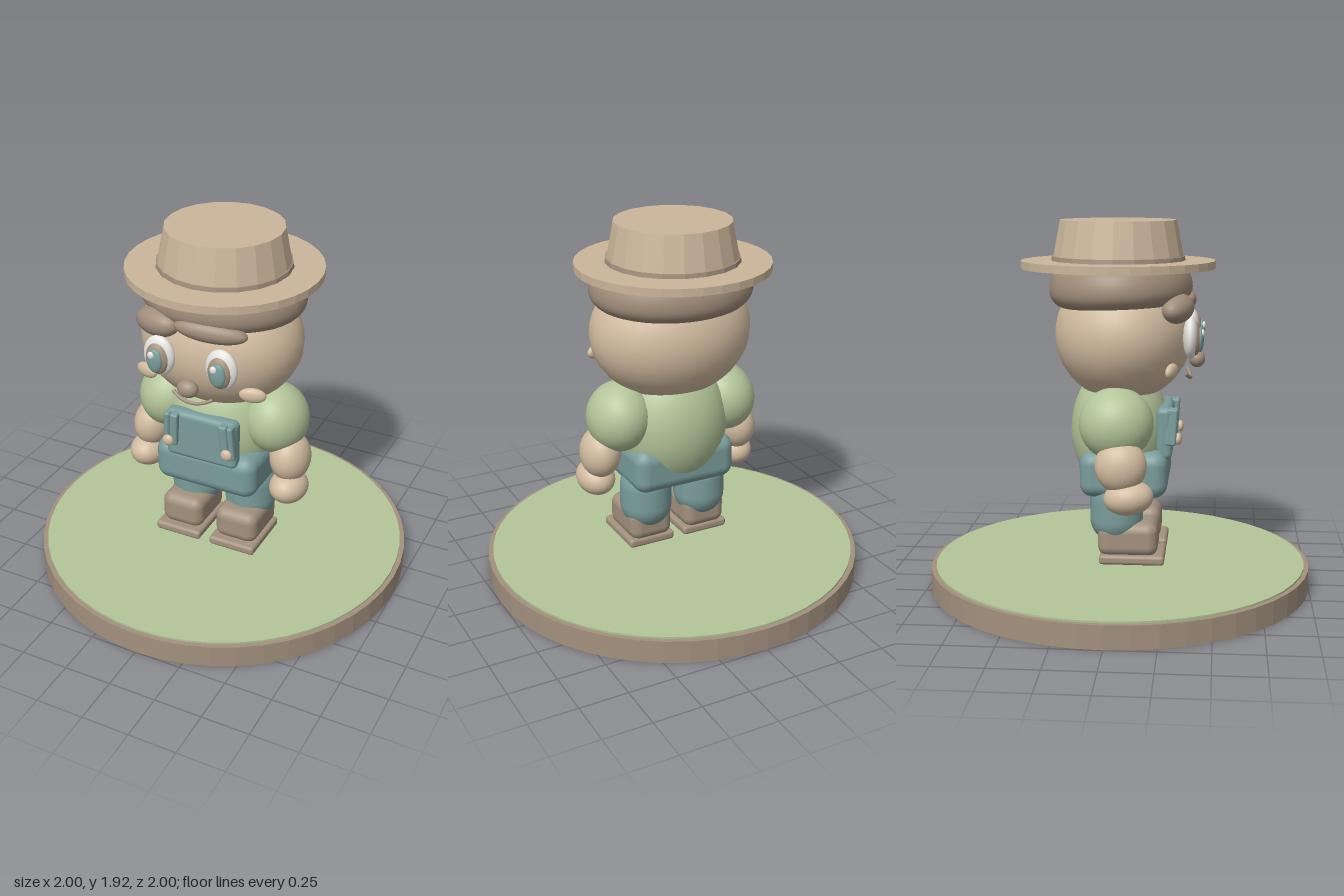
import * as THREE from 'three';
import { RoundedBoxGeometry } from 'three/addons/geometries/RoundedBoxGeometry.js';

export function createModel() {
  const root = new THREE.Group();
  root.name = 'gardenerFigure';

  const mat = (name, color, extra = {}) => {
    const m = new THREE.MeshStandardMaterial({ color, ...extra });
    m.name = name;
    return m;
  };
  const skin = mat('skin', 0xd2bca0);
  const straw = mat('straw', 0xcbb69b, { flatShading: true });
  const brown = mat('brown', 0xa3917e);
  const hairBrown = mat('hairBrown', 0xa08d7a, { side: THREE.DoubleSide });
  const wood = mat('wood', 0xa3917e, { flatShading: true });
  const green = mat('green', 0xb3c599);
  const denim = mat('denim', 0x7a9d9c);
  const white = mat('eyeWhite', 0xe6e4df);

  const add = (name, geo, material, x, y, z, rx = 0, ry = 0, rz = 0) => {
    const m = new THREE.Mesh(geo, material);
    m.name = name;
    m.position.set(x, y, z);
    m.rotation.set(rx, ry, rz);
    root.add(m);
    return m;
  };
  const ball = (name, material, [x, y, z], [a, b, c], rot = [0, 0, 0]) =>
    add(name, new THREE.SphereGeometry(1, 32, 20).scale(a, b, c), material, x, y, z, ...rot);
  const block = (name, material, [x, y, z], [w, h, d], r, rot = [0, 0, 0]) =>
    add(name, new RoundedBoxGeometry(w, h, d, 4, r), material, x, y, z, ...rot);
  const disc = (name, material, rTop, rBottom, y0, y1, sides, z = 0) =>
    add(name, new THREE.CylinderGeometry(rTop, rBottom, y1 - y0, sides), material, 0, (y0 + y1) / 2, z);

  // Round stand with a grass top
  disc('standBase', wood, 1, 1, 0, 0.12, 48);
  disc('grass', green, 0.975, 0.975, 0.12, 0.13, 48);

  // Torso and overalls
  ball('shirtBody', green, [0, 0.84, 0], [0.3, 0.35, 0.255]);
  block('overallHips', denim, [0, 0.64, 0.035], [0.575, 0.24, 0.45], 0.07);
  block('overallBib', denim, [0, 0.845, 0.24], [0.4, 0.27, 0.08], 0.03);

  // Head
  ball('head', skin, [0, 1.34, 0.02], [0.43, 0.35, 0.355]);
  ball('nose', brown, [0, 1.21, 0.4], [0.055, 0.046, 0.042]);
  const smile = new THREE.QuadraticBezierCurve3(
    new THREE.Vector3(-0.11, 1.145, 0.345),
    new THREE.Vector3(0, 1.08, 0.39),
    new THREE.Vector3(0.11, 1.145, 0.345));
  add('mouth', new THREE.TubeGeometry(smile, 20, 0.009, 8), brown, 0, 0, 0);

  // Hair: a rounded band under the hat, with fringe locks
  const hairProfile = new THREE.SplineCurve([
    [0.34, 1.485], [0.39, 1.5], [0.425, 1.54], [0.43, 1.59], [0.415, 1.64], [0.385, 1.68], [0.3, 1.73],
  ].map(([r, y]) => new THREE.Vector2(r, y - 1.58))).getPoints(18);
  add('hair', new THREE.LatheGeometry(hairProfile, 40).scale(1, 1, 0.855), hairBrown, 0, 1.58, 0.005, -0.035);
  ball('fringeRight', hairBrown, [-0.21, 1.49, 0.305], [0.135, 0.073, 0.075], [0, -0.3, 0.08]);
  ball('fringeLeft', hairBrown, [0.09, 1.51, 0.325], [0.185, 0.057, 0.06], [0, 0.2, -0.08]);

  // Hat
  disc('hatBrim', straw, 0.5, 0.5, 1.675, 1.715, 32, -0.01);
  disc('hatBand', wood, 0.342, 0.345, 1.715, 1.737, 20, -0.01);
  disc('hatCrown', straw, 0.3, 0.337, 1.73, 1.92, 20, -0.01);

  // Mirrored parts: s is +1 for the left side, -1 for the right
  for (const s of [1, -1]) {
    const side = s > 0 ? 'left' : 'right';

    // Eyes and cheeks
    ball(side + 'EyeWhite', white, [s * 0.17, 1.342, 0.37], [0.085, 0.108, 0.04]);
    ball(side + 'EyeRim', brown, [s * 0.17, 1.335, 0.392], [0.062, 0.085, 0.032]);
    ball(side + 'Iris', denim, [s * 0.172, 1.332, 0.418], [0.042, 0.064, 0.018]);
    ball(side + 'EyeGlint', white, [s * 0.17 - 0.015, 1.365, 0.431], [0.018, 0.02, 0.01]);
    ball(side + 'Cheek', skin, [s * 0.295, 1.185, 0.28], [0.068, 0.04, 0.025], [0, s * 0.3, s * -0.05]);

    // Arms
    ball(side + 'Sleeve', green, [s * 0.305, 0.92, 0.005], [0.168, 0.185, 0.188], [0, 0, s * 0.25]);
    ball(side + 'Forearm', skin, [s * 0.402, 0.725, 0.035], [0.105, 0.135, 0.13], [0, 0, s * 0.12]);
    ball(side + 'Hand', skin, [s * 0.415, 0.568, 0.075], [0.099, 0.088, 0.125], [-0.12, 0, 0]);

    // Bib straps with buttons
    for (const [x, w] of [[0.183, 0.032], [0.143, 0.045]]) {
      block(side + 'Strap', denim, [s * x, 0.88, 0.275], [w, 0.19, 0.06], 0.012, [0.06, 0, s * 0.06]);
    }
    ball(side + 'Button', skin, [s * 0.167, 0.818, 0.312], [0.031, 0.031, 0.018]);

    // Legs and boots
    add(side + 'Leg', new THREE.CapsuleGeometry(0.138, 0.1, 12, 28), denim, s * 0.16, 0.45, -0.005);
    block(side + 'Boot', brown, [s * 0.16, 0.3, 0.058], [0.24, 0.18, 0.31], 0.055);
    block(side + 'Sole', brown, [s * 0.16, 0.2, 0.08], [0.262, 0.05, 0.335], 0.018);
  }

  return root;
}
